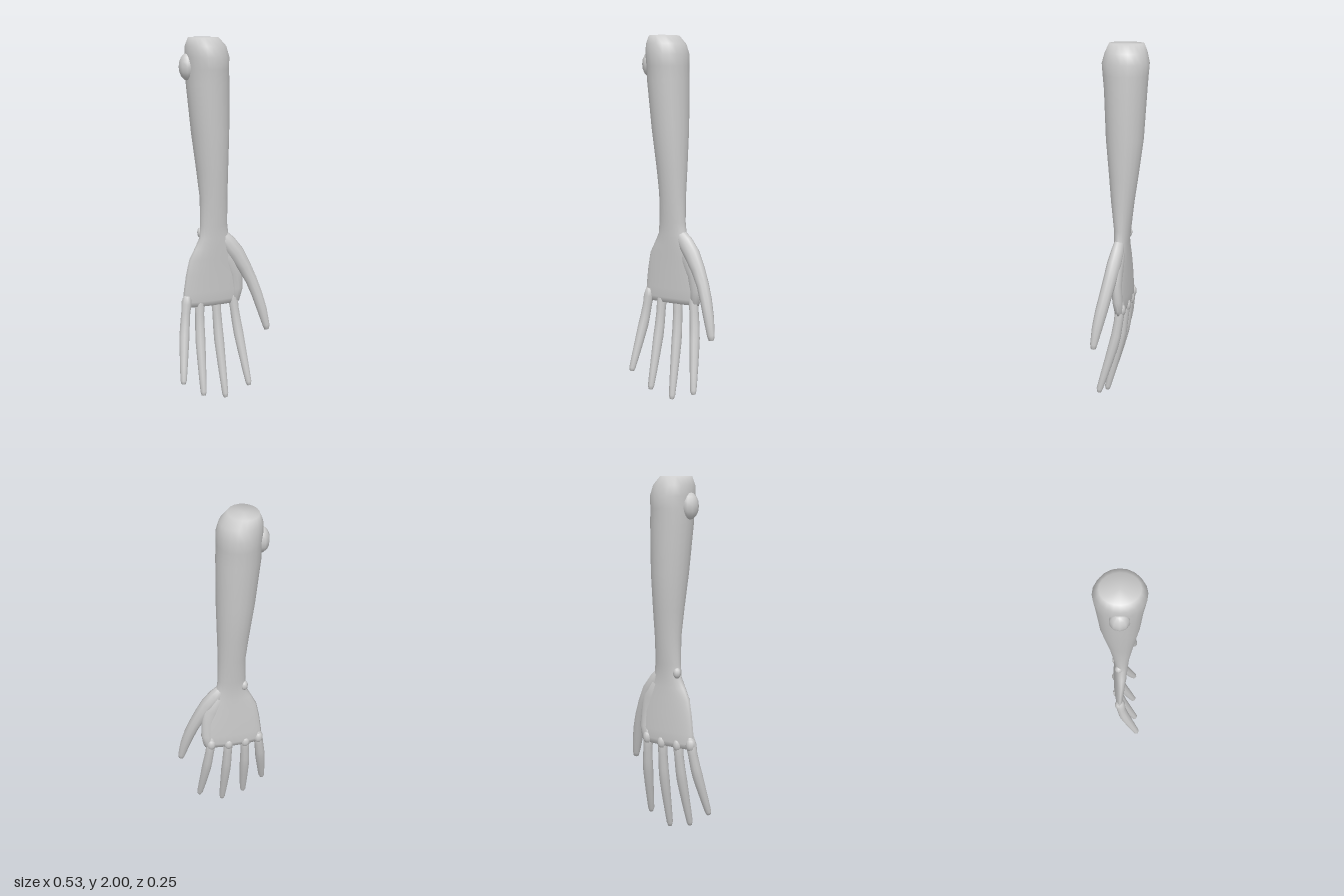
import * as THREE from 'three';

const material = new THREE.MeshStandardMaterial({ color: 0xcccccc });

// Closed loft through sections [x, y, z, halfWidth, halfDepth]; level keeps the rings horizontal
function loft(name, sections, sides, level = false) {
  const pos = [], idx = [], n = sections.length;
  const pts = sections.map(s => new THREE.Vector3(s[0], s[1], s[2]));
  const front = new THREE.Vector3(0, 0, 1);
  pts.forEach((p, i) => {
    const t = level ? new THREE.Vector3(0, -1, 0)
      : pts[Math.min(i + 1, n - 1)].clone().sub(pts[Math.max(i - 1, 0)]).normalize();
    const u = front.clone().cross(t).normalize();
    const v = t.clone().cross(u);
    for (let j = 0; j < sides; j++) {
      const a = (j / sides) * Math.PI * 2;
      const q = p.clone().addScaledVector(u, Math.cos(a) * sections[i][3])
        .addScaledVector(v, Math.sin(a) * sections[i][4]);
      pos.push(q.x, q.y, q.z);
    }
  });
  for (let i = 0; i < n - 1; i++) {
    for (let j = 0; j < sides; j++) {
      const k = (j + 1) % sides, a = i * sides, b = a + sides;
      idx.push(a + j, a + k, b + j, a + k, b + k, b + j);
    }
  }
  // end caps
  const first = n * sides, last = (n - 1) * sides;
  pos.push(...pts[0].toArray(), ...pts[n - 1].toArray());
  for (let j = 0; j < sides; j++) {
    const k = (j + 1) % sides;
    idx.push(first, k, j, first + 1, last + j, last + k);
  }
  const g = new THREE.BufferGeometry();
  g.setAttribute('position', new THREE.Float32BufferAttribute(pos, 3));
  g.setIndex(idx);
  g.computeVertexNormals();
  const mesh = new THREE.Mesh(g, material);
  mesh.name = name;
  return mesh;
}

function bump(name, x, y, z, rx, ry, rz) {
  const mesh = new THREE.Mesh(new THREE.SphereGeometry(1, 10, 8), material);
  mesh.name = name;
  mesh.position.set(x, y, z);
  mesh.scale.set(rx, ry, rz);
  return mesh;
}

export function createModel() {
  const group = new THREE.Group();
  group.name = 'forearmAndHand';

  // Forearm with the rounded elbow end, running on into the flat palm
  group.add(loft('forearmAndPalm', [
    [-0.09, 2.0, 0, 0.078, 0.094],
    [-0.078, 1.955, 0, 0.108, 0.113],
    [-0.07, 1.9, 0, 0.116, 0.127],
    [-0.068, 1.84, 0, 0.113, 0.122],
    [-0.066, 1.76, -0.001, 0.115, 0.115],
    [-0.053, 1.5, 0, 0.102, 0.102],
    [-0.043, 1.3, 0.003, 0.087, 0.08],
    [-0.037, 1.15, 0.007, 0.077, 0.063],
    [-0.037, 1.0, 0.008, 0.078, 0.046],
    [-0.035, 0.93, 0.01, 0.085, 0.04],
    [-0.035, 0.87, 0.008, 0.115, 0.038],
    [-0.038, 0.81, 0.005, 0.142, 0.036],
    [-0.038, 0.72, 0.0, 0.16, 0.034],
    [-0.036, 0.62, -0.004, 0.175, 0.032],
    [-0.04, 0.565, -0.006, 0.172, 0.03],
    [-0.04, 0.535, -0.006, 0.16, 0.022],
  ], 20, true));

  // Bony points of the elbow and wrist
  group.add(bump('elbowPoint', -0.178, 1.85, -0.005, 0.045, 0.07, 0.05));
  group.add(bump('wristBone', -0.105, 0.955, -0.008, 0.022, 0.03, 0.022));

  // Four fingers curving forward: [name, base x, knuckle y, tip x, tip y, base z, tip z]
  const fingers = [
    ['littleFinger', -0.195, 0.56, -0.253, 0.13, 0.0, 0.1],
    ['ringFinger', -0.115, 0.55, -0.132, 0.04, -0.008, 0.095],
    ['middleFinger', -0.015, 0.55, 0.002, 0.005, -0.012, 0.09],
    ['indexFinger', 0.085, 0.56, 0.142, 0.06, -0.008, 0.1],
  ];
  // along the finger: [fraction of length, bend, radius]
  const profile = [[-0.1, 0, 0.02], [0, 0, 0.029], [0.12, 0.04, 0.026], [0.3, 0.16, 0.028],
    [0.42, 0.28, 0.029], [0.6, 0.5, 0.026], [0.8, 0.76, 0.022], [0.96, 0.97, 0.018], [1, 1, 0.012]];
  for (const [name, x0, y0, x1, y1, z0, z1] of fingers) {
    const f = new THREE.Group();
    f.name = name;
    f.add(loft(name + 'Shaft', profile.map(([t, b, r]) => [
      x0 + (x1 - x0) * t, y0 + (y1 - y0) * t, z0 + (z1 - z0) * b, r, r]), 10));
    f.add(bump(name + 'Knuckle', x0, y0, z0 - 0.009, 0.027, 0.038, 0.025));
    group.add(f);
  }

  // Thumb growing out of the side of the wrist
  group.add(loft('thumb', [
    [0.0, 0.95, 0.01, 0.03, 0.025],
    [0.045, 0.89, 0.014, 0.045, 0.036],
    [0.09, 0.83, 0.022, 0.046, 0.04],
    [0.135, 0.75, 0.035, 0.039, 0.037],
    [0.172, 0.67, 0.05, 0.034, 0.035],
    [0.2, 0.59, 0.066, 0.032, 0.034],
    [0.225, 0.5, 0.083, 0.029, 0.029],
    [0.245, 0.41, 0.097, 0.021, 0.02],
    [0.249, 0.385, 0.099, 0.015, 0.014],
  ], 10));
  // Web between thumb and palm
  group.add(loft('thumbWeb', [
    [0.03, 0.88, 0.006, 0.04, 0.03],
    [0.07, 0.79, 0.008, 0.055, 0.032],
    [0.095, 0.71, 0.006, 0.042, 0.028],
    [0.105, 0.62, 0.0, 0.036, 0.028],
    [0.095, 0.55, -0.006, 0.028, 0.024],
  ], 12));
  return group;
}
